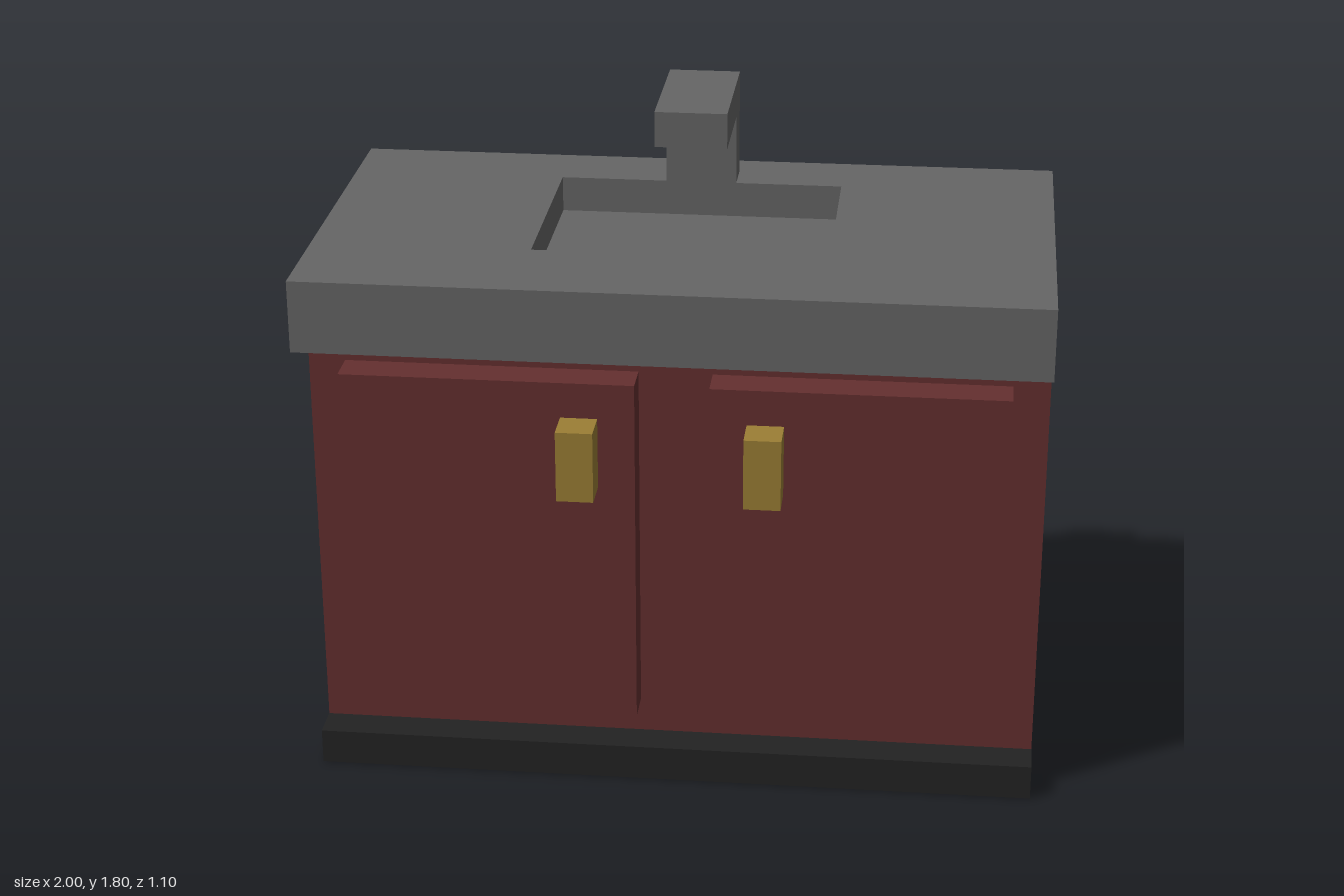
import * as THREE from 'three';

const mat = (name, color) => {
  const m = new THREE.MeshStandardMaterial({ color });
  m.name = name;
  return m;
};

export function createModel() {
  const model = new THREE.Group();
  model.name = 'sinkCabinet';
  const stone = mat('grey stone', 0x666666);
  const wood = mat('red wood', 0x653030);
  const plinth = mat('black plinth', 0x232323);
  const brass = mat('brass', 0x9c7f35);

  // Box given by its minimum and maximum corners
  const box = (name, material, [x0, y0, z0], [x1, y1, z1]) => {
    const mesh = new THREE.Mesh(new THREE.BoxGeometry(x1 - x0, y1 - y0, z1 - z0), material);
    mesh.position.set((x0 + x1) / 2, (y0 + y1) / 2, (z0 + z1) / 2);
    mesh.name = name;
    model.add(mesh);
  };

  // Plinth and cabinet body
  box('plinth', plinth, [-1, 0, -0.45], [1, 0.1, 0.45]);
  box('cabinet', wood, [-1, 0.1, -0.55], [1, 1.3, 0.35]);

  // Doors with their handles, mirrored
  for (const [side, s] of [['left', 1], ['right', -1]]) {
    const span = (a, b) => (s > 0 ? [a, b] : [-b, -a]);
    const [d0, d1] = span(0.1, 0.9);
    const [h0, h1] = span(0.2, 0.3);
    box(side + 'Door', wood, [d0, 0.2, 0.35], [d1, 1.2, 0.45]);
    box(side + 'Handle', brass, [h0, 0.9, 0.45], [h1, 1.1, 0.55]);
  }

  // Countertop with a rectangular basin opening (shape y becomes -z)
  const rect = (Type, x, y0, y1) => new Type([
    new THREE.Vector2(-x, y0), new THREE.Vector2(x, y0),
    new THREE.Vector2(x, y1), new THREE.Vector2(-x, y1),
  ]);
  const top = rect(THREE.Shape, 1, -0.55, 0.55);
  top.holes.push(rect(THREE.Path, 0.4, -0.25, 0.35));
  const topGeometry = new THREE.ExtrudeGeometry(top, { depth: 0.2, bevelEnabled: false });
  topGeometry.rotateX(-Math.PI / 2);
  const countertop = new THREE.Mesh(topGeometry, stone);
  countertop.position.y = 1.3;
  countertop.name = 'countertop';
  model.add(countertop);
  box('basinFloor', stone, [-0.4, 1.3, -0.35], [0.4, 1.4, 0.25]);

  // Faucet: upright column and spout reaching over the basin
  box('faucetColumn', stone, [-0.1, 1.5, -0.45], [0.1, 1.7, -0.35]);
  box('faucetSpout', stone, [-0.1, 1.7, -0.45], [0.1, 1.8, -0.05]);

  return model;
}
